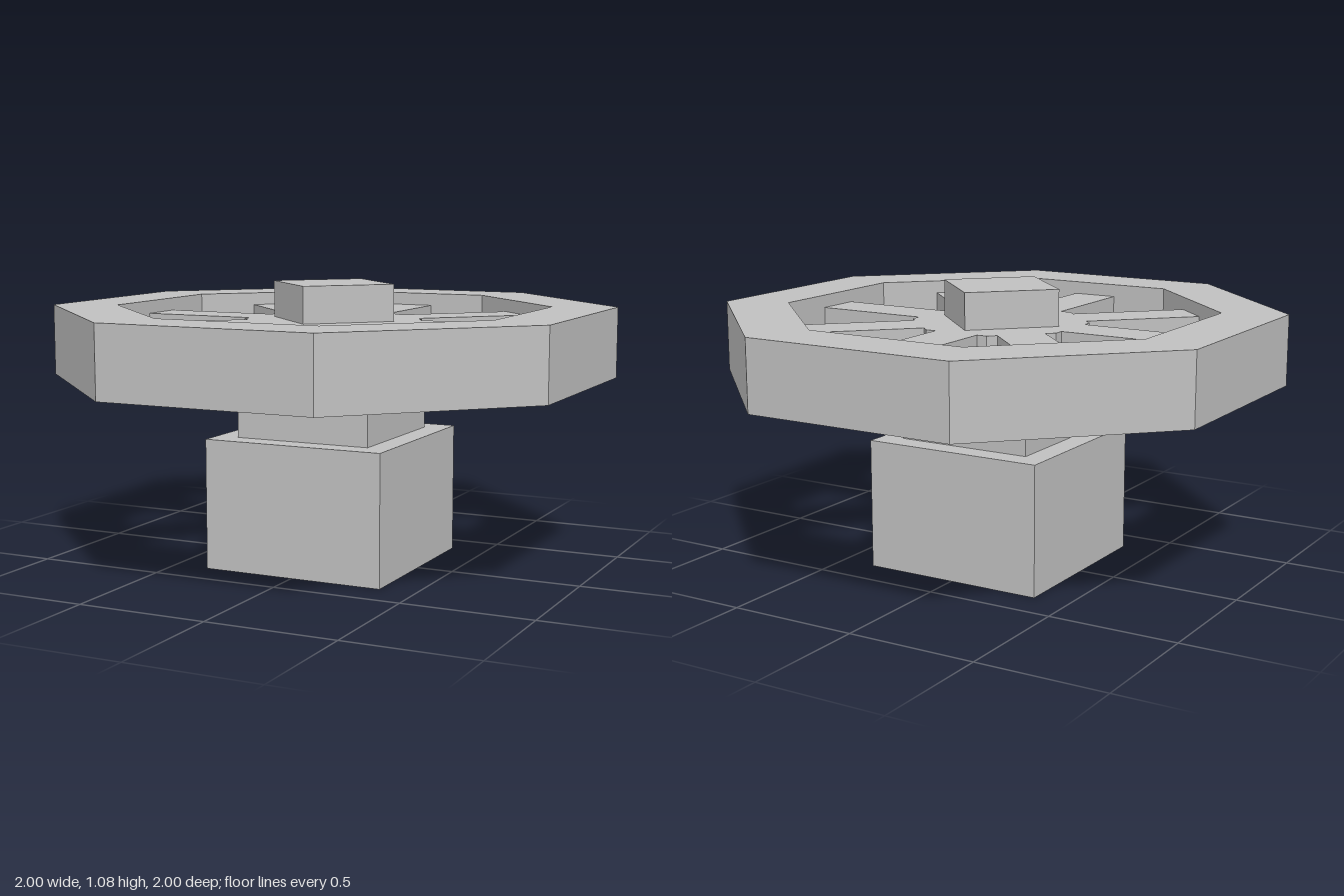
import * as THREE from 'three';

const metal = new THREE.MeshStandardMaterial({ color: 0xc0c0c0 });
metal.name = 'grey metal';

export function createModel() {
  const model = new THREE.Group();
  model.name = 'valveWheel';

  const add = (name, geometry, parent = model) => {
    const mesh = new THREE.Mesh(geometry, metal);
    mesh.name = name;
    parent.add(mesh);
    return mesh;
  };
  // Box spanning y0 to y1
  const box = (name, w, d, y0, y1, x = 0, z = 0, parent = model) => {
    const mesh = add(name, new THREE.BoxGeometry(w, y1 - y0, d), parent);
    mesh.position.set(x, (y0 + y1) / 2, z);
    return mesh;
  };
  // Corners of a flat-sided regular polygon with the given apothem
  const polygon = (sides, apothem) => Array.from({ length: sides }, (_, i) => {
    const a = ((i + 0.5) / sides) * Math.PI * 2;
    const r = apothem / Math.cos(Math.PI / sides);
    return new THREE.Vector2(Math.cos(a) * r, Math.sin(a) * r);
  });
  // Upright polygonal prism, optionally with a matching hole
  const prism = (name, sides, outer, inner, y0, y1) => {
    const shape = new THREE.Shape(polygon(sides, outer));
    if (inner) shape.holes.push(new THREE.Path(polygon(sides, inner).reverse()));
    const geometry = new THREE.ExtrudeGeometry(shape, { depth: y1 - y0, bevelEnabled: false });
    geometry.rotateX(-Math.PI / 2).translate(0, y0, 0);
    return add(name, geometry);
  };

  // Base with a shallow recess underneath, and the neck above it
  prism('baseRim', 4, 0.36, 0.265, 0, 0.045);
  box('baseBlock', 0.72, 0.72, 0.045, 0.5);
  box('neck', 0.54, 0.54, 0.5, 0.635);

  // Square stem turned by an eighth
  box('stem', 0.36, 0.36, 0.635, 1.08).rotation.y = Math.PI / 4;

  // Wheel
  prism('rim', 8, 1, 0.77, 0.72, 0.99);
  prism('hub', 8, 0.315, 0, 0.77, 0.94);
  for (let i = 0; i < 8; i++) {
    const spoke = new THREE.Group();
    spoke.name = 'spoke';
    spoke.rotation.y = (i * Math.PI) / 4;
    box('spokeBar', 0.54, 0.18, 0.77, 0.94, 0.51, 0, spoke);
    model.add(spoke);
  }

  // Small lugs under the hub, mirrored across the diagonal
  for (const s of [1, -1]) {
    for (const flip of [false, true]) {
      const put = (name, u, v, w, d, y0) => flip
        ? box(name, d, w, y0, 0.77, v * s, u * s)
        : box(name, w, d, y0, 0.77, u * s, v * s);
      put('lug', -0.08, 0.275, 0.06, 0.05, 0.65);
      put('lugPin', -0.16, 0.275, 0.025, 0.025, 0.63);
    }
  }
  return model;
}
